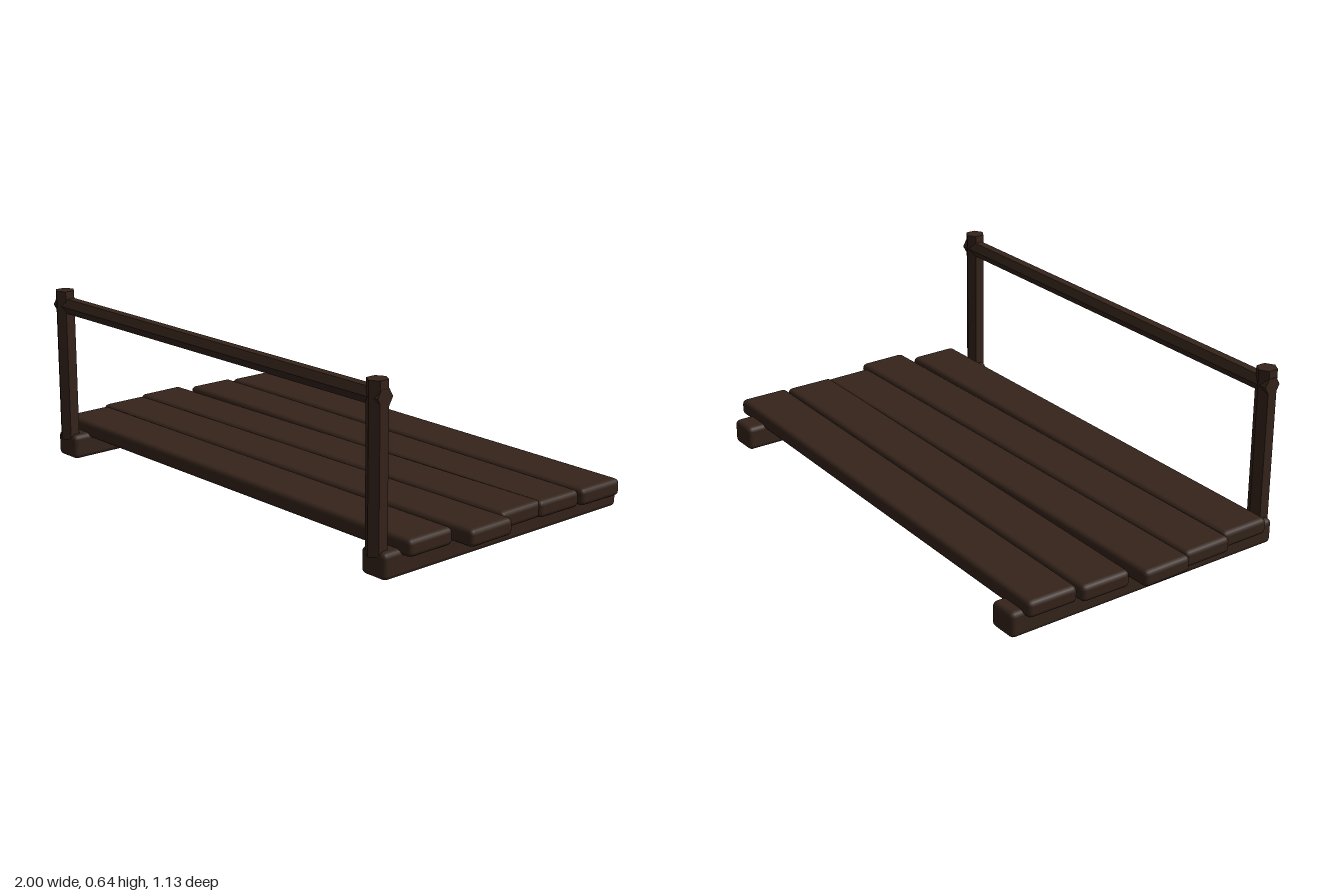
import * as THREE from 'three';
import { RoundedBoxGeometry } from 'three/addons/geometries/RoundedBoxGeometry.js';

export function createModel() {
  const model = new THREE.Group();
  model.name = 'plankPlatform';
  const wood = new THREE.MeshStandardMaterial({ color: 0x35241b });
  const facetedWood = new THREE.MeshStandardMaterial({ color: 0x35241b, flatShading: true });

  const add = (name, geometry, material, x, y, z) => {
    const mesh = new THREE.Mesh(geometry, material);
    mesh.name = name;
    mesh.position.set(x, y, z);
    model.add(mesh);
    return mesh;
  };

  // Two bearers resting on the ground
  for (const [name, x] of [['rightBearer', -0.852], ['leftBearer', 0.835]]) {
    add(name, new RoundedBoxGeometry(0.113, 0.092, 1.108, 2, 0.018), wood, x, 0.046, -0.01);
  }

  // Uneven deck planks, back to front: [x min, x max, z centre, yaw]
  const planks = [
    [-0.94, 0.962, -0.41, -0.014],
    [-0.96, 0.952, -0.212, -0.014],
    [-1.0, 0.942, -0.014, 0.012],
    [-0.977, 0.996, 0.181, 0.01],
    [-0.95, 0.932, 0.38, 0.001],
  ];
  planks.forEach(([x0, x1, z, yaw], i) => {
    const plank = add(`plank${i + 1}`, new RoundedBoxGeometry(x1 - x0, 0.061, 0.193, 2, 0.018),
      wood, (x0 + x1) / 2, 0.102, z);
    plank.rotation.y = yaw;
  });

  // Six-sided posts at the front corners
  for (const [name, x] of [['rightPost', -0.852], ['leftPost', 0.833]]) {
    add(name, new THREE.CylinderGeometry(0.037, 0.037, 0.568, 6), facetedWood, x, 0.357, 0.526);
  }

  // Six-sided handrail passing through the posts
  const rail = add('handrail', new THREE.CylinderGeometry(0.032, 0.032, 1.752, 6),
    facetedWood, -0.01, 0.585, 0.523);
  rail.rotation.z = Math.PI / 2;

  return model;
}
